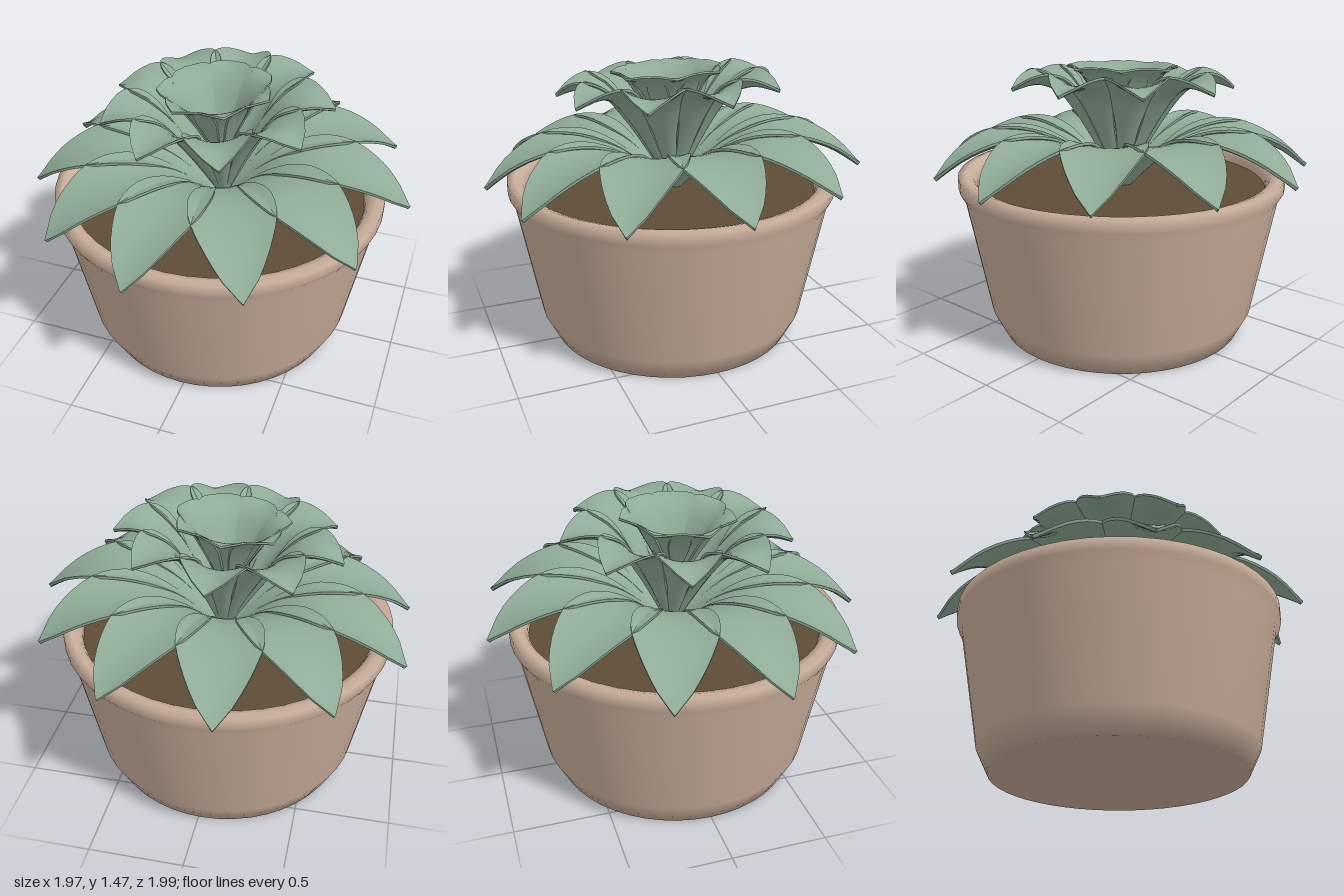
import * as THREE from 'three';

const v2 = (p) => new THREE.Vector2(p[0], p[1]);

// One thick cupped leaf pointing along +x: a box bent along a midrib of
// [radius, height] points, with half widths spaced evenly from root to tip.
function leafGeometry(rib, widths, cup, thick) {
  const geo = new THREE.BoxGeometry(1, 1, 1, 20, 1, 10);
  const path = new THREE.SplineCurve(rib.map(v2));
  const width = new THREE.SplineCurve(widths.map((w, i) => new THREE.Vector2(i, w)));
  const pos = geo.attributes.position;
  for (let i = 0; i < pos.count; i++) {
    const t = pos.getX(i) + 0.5;
    const v = pos.getZ(i) * 2;
    const p = path.getPoint(t);
    const d = path.getTangent(t);
    const w = Math.max(width.getPoint(t).y, 0.003);
    // lift the edges along the leaf normal, and thin the blade towards them
    const lift = cup * w * v * v + pos.getY(i) * thick * (1 - 0.4 * v * v);
    pos.setXYZ(i, p.x - d.y * lift, p.y + d.x * lift, v * w);
  }
  geo.computeVertexNormals();
  return geo;
}

export function createModel() {
  const model = new THREE.Group();
  model.name = 'pottedSucculent';
  const clay = new THREE.MeshStandardMaterial({ name: 'clay', color: 0xc9ae9b });
  const leafGreen = new THREE.MeshStandardMaterial({ name: 'leafGreen', color: 0x8fab97 });
  const earth = new THREE.MeshStandardMaterial({ name: 'earth', color: 0x5e4c36 });

  // Pot: tapered wall, bevelled foot, straight collar and inner wall
  const profile = [
    [0, 0], [0.665, 0], [0.73, 0.13], [0.85, 0.77], [0.879, 0.82],
    [0.88, 0.885], [0.84, 0.89], [0.8, 0.875], [0.78, 0.84], [0.77, 0.76],
  ].map(v2);
  const pot = new THREE.Mesh(new THREE.LatheGeometry(profile, 48), clay);
  pot.name = 'pot';
  pot.position.x = -0.02;
  model.add(pot);

  // Soil disc
  const soil = new THREE.Mesh(new THREE.CylinderGeometry(0.779, 0.772, 0.04, 48), earth);
  soil.name = 'soil';
  soil.position.set(-0.02, 0.79, 0);
  model.add(soil);

  // Three rings of leaves, each leaning slightly
  const rings = [
    {
      name: 'outerLeaf', count: 11, start: 0, lean: 0.03, cup: 0.2, thick: 0.024,
      rib: [[0.03, 0.8], [0.19, 0.95], [0.34, 1.045], [0.5, 1.085], [0.68, 1.07], [0.85, 1.005], [1.0, 0.9]],
      widths: [0.03, 0.055, 0.1, 0.16, 0.2, 0.205, 0.165, 0.1, 0],
    },
    {
      name: 'middleLeaf', count: 9, start: -10, lean: 0.05, cup: 0.36, thick: 0.02,
      rib: [[0.03, 0.84], [0.14, 1.04], [0.24, 1.2], [0.33, 1.315], [0.42, 1.36], [0.5, 1.365], [0.595, 1.335]],
      widths: [0.025, 0.04, 0.06, 0.09, 0.135, 0.165, 0.15, 0.09, 0],
    },
    {
      name: 'innerLeaf', count: 7, start: 12, lean: 0.055, cup: 0.22, thick: 0.016,
      rib: [[0.01, 1.0], [0.06, 1.13], [0.12, 1.26], [0.18, 1.365], [0.24, 1.42], [0.303, 1.437]],
      widths: [0.015, 0.035, 0.06, 0.09, 0.12, 0.135, 0.13, 0.09, 0],
    },
  ];
  for (const ring of rings) {
    const group = new THREE.Group();
    group.name = ring.name + 'Ring';
    group.position.set(-0.02, 1.1, 0);
    group.rotation.set(0.035, 0, ring.lean);
    model.add(group);
    const geo = leafGeometry(ring.rib, ring.widths, ring.cup, ring.thick);
    for (let i = 0; i < ring.count; i++) {
      const leaf = new THREE.Mesh(geo, leafGreen);
      leaf.name = ring.name + (i + 1);
      leaf.position.y = -1.1;
      leaf.rotation.y = -THREE.MathUtils.degToRad(ring.start + (i * 360) / ring.count);
      group.add(leaf);
    }
  }
  return model;
}
